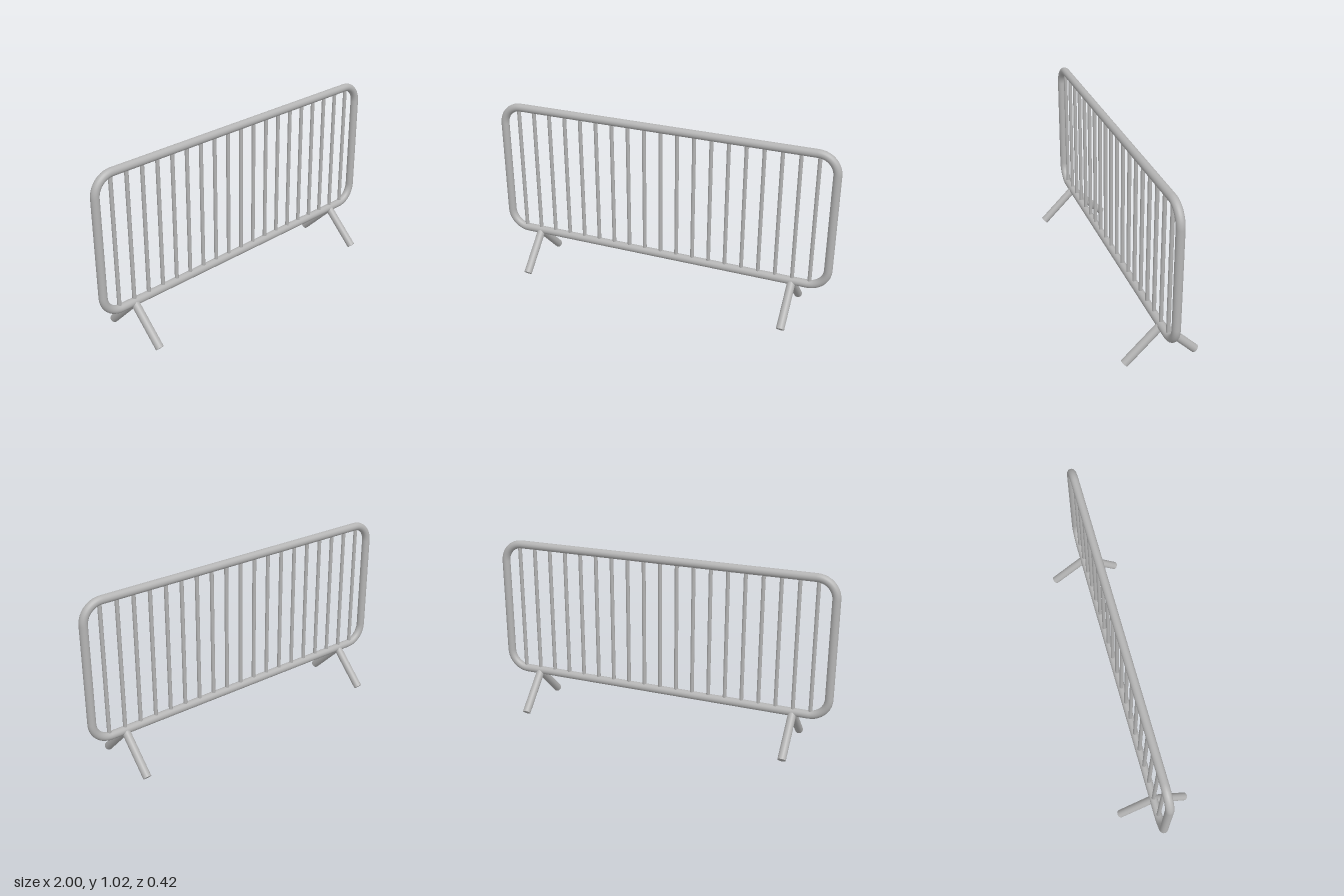
import * as THREE from 'three';

export function createModel() {
  const model = new THREE.Group();
  model.name = 'crowdBarrier';
  const steel = new THREE.MeshStandardMaterial({ color: 0xb4b4b4 });
  steel.name = 'galvanised steel';

  const tubeR = 0.023, barR = 0.011, bend = 0.108;
  const halfW = 1 - tubeR, bottom = 0.216, top = 0.993;
  const midY = (bottom + top) / 2, halfH = (top - bottom) / 2;
  const spacing = 0.0978;

  // Straight round tube between two points
  function tube(name, a, b, radius, sides, open, parent) {
    const from = new THREE.Vector3(...a), to = new THREE.Vector3(...b);
    const dir = to.clone().sub(from);
    const mesh = new THREE.Mesh(
      new THREE.CylinderGeometry(radius, radius, dir.length(), sides, 1, open), steel);
    mesh.position.copy(from).add(to).multiplyScalar(0.5);
    mesh.quaternion.setFromUnitVectors(new THREE.Vector3(0, 1, 0), dir.normalize());
    mesh.name = name;
    parent.add(mesh);
  }

  // Outer frame: four straight tubes joined by quarter bends
  const frame = new THREE.Group();
  frame.name = 'frame';
  const sx = halfW - bend, sy = halfH - bend;
  tube('topRail', [-sx, top, 0], [sx, top, 0], tubeR, 20, true, frame);
  tube('bottomRail', [-sx, bottom, 0], [sx, bottom, 0], tubeR, 20, true, frame);
  tube('leftPost', [halfW, midY - sy, 0], [halfW, midY + sy, 0], tubeR, 20, true, frame);
  tube('rightPost', [-halfW, midY - sy, 0], [-halfW, midY + sy, 0], tubeR, 20, true, frame);
  const bendGeometry = new THREE.TorusGeometry(bend, tubeR, 20, 10, Math.PI / 2);
  [[1, 1], [-1, 1], [-1, -1], [1, -1]].forEach(([x, y], i) => {
    const corner = new THREE.Mesh(bendGeometry, steel);
    corner.position.set(x * sx, midY + y * sy, 0);
    corner.rotation.z = i * Math.PI / 2;
    corner.name = 'cornerBend';
    frame.add(corner);
  });
  model.add(frame);

  // Thin upright bars
  const bars = new THREE.Group();
  bars.name = 'bars';
  for (let i = -9; i <= 9; i++) {
    tube('bar', [i * spacing, bottom, 0], [i * spacing, top, 0], barR, 12, true, bars);
  }
  model.add(bars);

  // Splayed feet, one pair near each end
  for (const side of [1, -1]) {
    const feet = new THREE.Group();
    feet.name = side > 0 ? 'leftFeet' : 'rightFeet';
    const x = side * spacing * 8;
    tube('frontFoot', [x, 0.212, 0], [x, 0.0163, 0.1957], tubeR, 20, false, feet);
    tube('backFoot', [x, 0.212, 0], [x, 0.0163, -0.1957], tubeR, 20, false, feet);
    model.add(feet);
  }
  return model;
}
